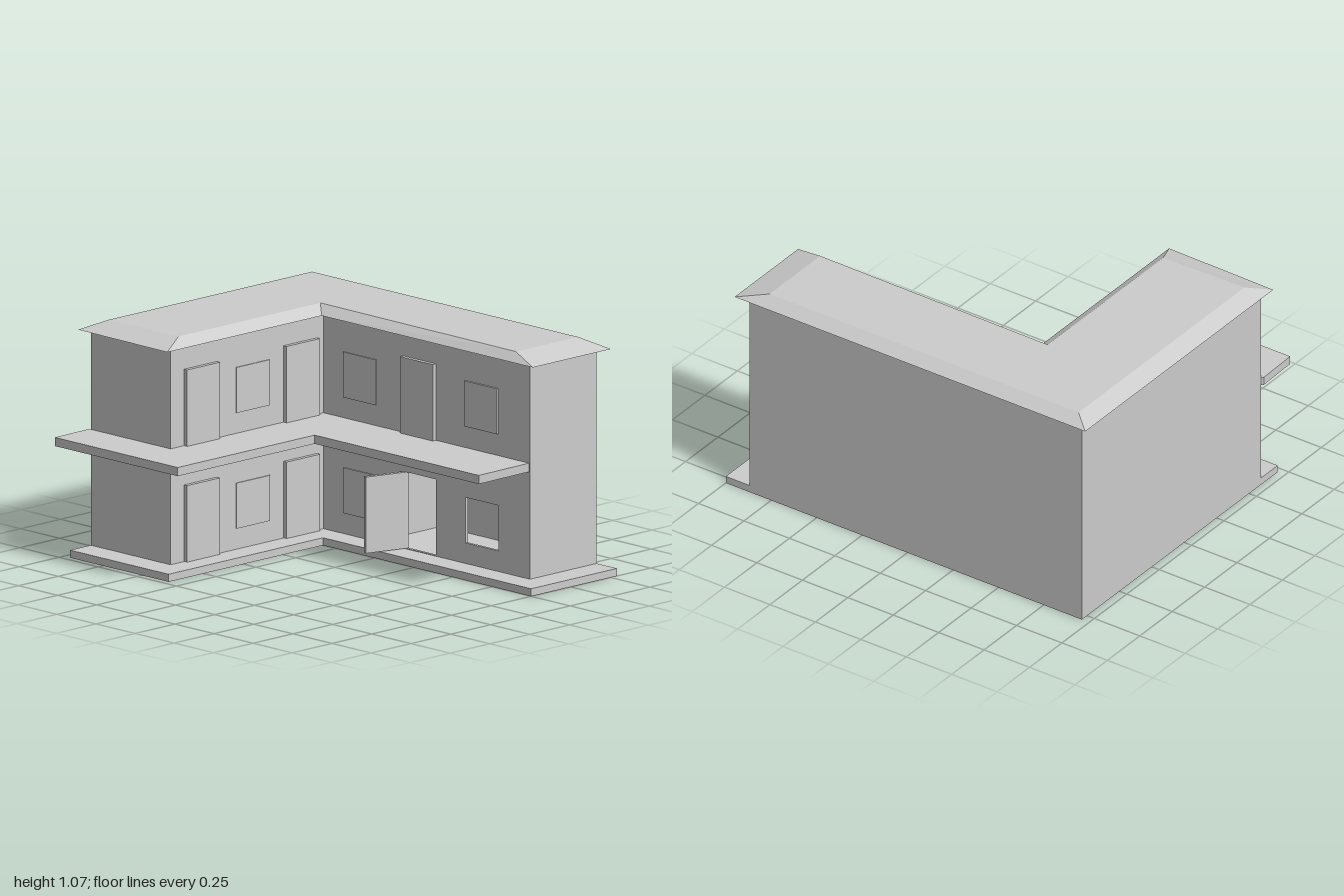
import * as THREE from 'three';

export function createModel() {
  const house = new THREE.Group();
  house.name = 'house';
  const grey = new THREE.MeshStandardMaterial({ color: 0xcccccc });
  grey.name = 'plain grey';

  const add = (name, geometry, parent = house) => {
    const mesh = new THREE.Mesh(geometry, grey);
    mesh.name = name;
    parent.add(mesh);
    return mesh;
  };
  // Box given by its lowest and highest corners
  const block = (name, x0, x1, y0, y1, z0, z1) => add(name,
    new THREE.BoxGeometry(x1 - x0, y1 - y0, z1 - z0)
      .translate((x0 + x1) / 2, (y0 + y1) / 2, (z0 + z1) / 2));
  // Flat slab from a plan of [x, z] corners
  const slab = (name, plan, y0, y1) => {
    const shape = new THREE.Shape(plan.map(([x, z]) => new THREE.Vector2(x, -z)));
    const geometry = new THREE.ExtrudeGeometry(shape, { depth: y1 - y0, bevelEnabled: false });
    return add(name, geometry.rotateX(-Math.PI / 2).translate(0, y0, 0));
  };

  // Ground slab and upper floor with its balcony
  slab('base', [[-0.96, 0.72], [-0.33, 0.72], [-0.33, -0.25], [1, -0.25],
    [1, -0.79], [-0.96, -0.79]], 0, 0.035);
  slab('balcony', [[-0.965, 0.81], [-0.18, 0.81], [-0.18, -0.05], [0.87, -0.05],
    [0.865, -0.375], [0.865, -0.78], [-0.955, -0.78], [-0.955, 0.585], [-0.97, 0.6]], 0.53, 0.57);

  // Thin walls around the L-shaped plan
  const low = 0.035, high = 1.03, t = 0.015;
  block('backWall', -0.96, 0.87, low, high, -0.79, -0.79 + t);
  block('outerSideWall', -0.96, -0.96 + t, low, high, -0.79 + t, 0.59);
  block('wingEndWall', -0.96 + t, -0.45, low, high, 0.59 - t, 0.59);
  block('wingInnerWall', -0.45 - t, -0.45, low, high, -0.37 - t, 0.59 - t);
  block('endWall', 0.87 - t, 0.87, low, high, -0.79 + t, -0.37);
  block('partition', -0.125, -0.11, low, 0.53, -0.79 + t, -0.37 - t);

  // Courtyard wall with an open doorway and window
  const rect = (PathType, x0, x1, y0, y1) => new PathType([[x0, y0], [x1, y0], [x1, y1], [x0, y1]]
    .map(([x, y]) => new THREE.Vector2(x, y)));
  const wall = rect(THREE.Shape, -0.45, 0.87 - t, low, high);
  wall.holes.push(rect(THREE.Path, 0.08, 0.27, 0.038, 0.39));
  wall.holes.push(rect(THREE.Path, 0.46, 0.67, 0.13, 0.34));
  add('courtyardWall', new THREE.ExtrudeGeometry(wall, { depth: t, bevelEnabled: false })
    .translate(0, 0, -0.37 - t));

  // Doors and windows of the wing, repeated on both storeys
  for (const [floor, y] of [['lower', 0.036], ['upper', 0.57]]) {
    const top = y + 0.353;
    block(floor + 'WingDoorFront', -0.45, -0.43, y, top, 0.3, 0.505);
    block(floor + 'WingDoorBack', -0.45, -0.43, y, top, -0.33, -0.12);
    block(floor + 'WingWindow', -0.45, -0.445, y + 0.095, y + 0.305, -0.03, 0.18);
    block(floor + 'CourtyardWindow', -0.32, -0.11, y + 0.095, y + 0.305, -0.37, -0.365);
  }
  block('upperCourtyardDoor', 0.06, 0.27, 0.57, 0.923, -0.37, -0.35);
  block('upperEndWindow', 0.46, 0.67, 0.67, 0.88, -0.37, -0.361);

  // Open door leaf swung out from its hinge
  const hinge = new THREE.Group();
  hinge.name = 'openDoor';
  hinge.position.set(0.08, 0.038, -0.37);
  hinge.rotation.y = -0.29;
  add('doorLeaf', new THREE.BoxGeometry(0.02, 0.352, 0.205).translate(-0.01, 0.176, 0.1025), hinge);
  house.add(hinge);

  // Low hipped roof between an eave loop and a flat top loop
  const eave = [[-1, 0.63], [-0.42, 0.64], [-0.42, -0.33], [0.93, -0.33], [0.93, -0.82], [-1, -0.82]];
  const crown = [[-0.92, 0.52], [-0.48, 0.51], [-0.48, -0.38], [0.78, -0.37], [0.78, -0.76], [-0.92, -0.76]];
  const lower = eave.map(([x, z]) => [x, 1.03, z]);
  const upper = crown.map(([x, z]) => [x, 1.07, z]);
  const points = [];
  lower.forEach((a, i) => {
    const j = (i + 1) % lower.length;
    points.push(a, lower[j], upper[j], a, upper[j], upper[i]);
  });
  const cap = (loop) => THREE.ShapeUtils.triangulateShape(
    loop.map(([x, , z]) => new THREE.Vector2(x, -z)), []);
  for (const [a, b, c] of cap(upper)) points.push(upper[a], upper[b], upper[c]);
  for (const [a, b, c] of cap(lower)) points.push(lower[a], lower[c], lower[b]);
  const roof = new THREE.BufferGeometry();
  roof.setAttribute('position', new THREE.Float32BufferAttribute(points.flat(), 3));
  roof.computeVertexNormals();
  add('roof', roof);

  return house;
}
